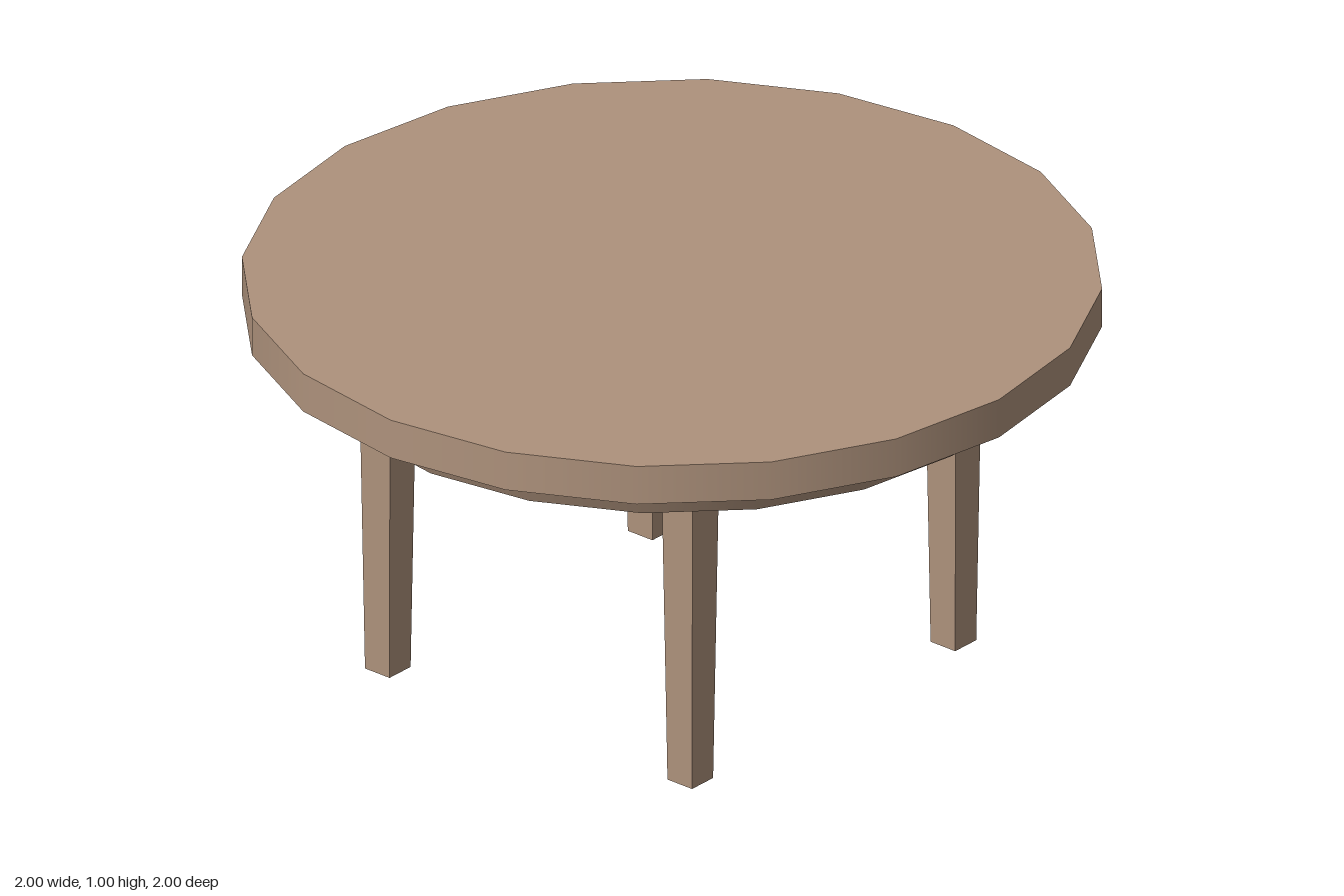
import * as THREE from 'three';

const SIDES = 20;

// Square leg, wider at the top, standing on y = 0
function legGeometry(bottom, top, height) {
  const geo = new THREE.BoxGeometry(1, height, 1);
  geo.translate(0, height / 2, 0);
  const pos = geo.attributes.position;
  for (let i = 0; i < pos.count; i++) {
    const w = pos.getY(i) > height / 2 ? top : bottom;
    pos.setX(i, pos.getX(i) * w);
    pos.setZ(i, pos.getZ(i) * w);
  }
  geo.computeVertexNormals();
  return geo;
}

export function createModel() {
  const table = new THREE.Group();
  table.name = 'roundTable';

  const wood = new THREE.MeshStandardMaterial({ color: 0xae927c });
  wood.name = 'wood';

  const add = (name, geo, x, y, z) => {
    const mesh = new THREE.Mesh(geo, wood);
    mesh.name = name;
    mesh.position.set(x, y, z);
    table.add(mesh);
  };

  // Round top and the tapered apron below it
  add('tableTop', new THREE.CylinderGeometry(1, 1, 0.098, SIDES), 0, 0.951, 0);
  add('apron', new THREE.CylinderGeometry(0.9, 0.857, 0.095, SIDES), 0, 0.8545, 0);

  // Four legs, slightly uneven in placement
  const leg = legGeometry(0.075, 0.095, 0.807);
  const legs = [
    ['frontLeftLeg', 0.437, 0.443],
    ['frontRightLeg', -0.467, 0.467],
    ['backLeftLeg', 0.437, -0.492],
    ['backRightLeg', -0.467, -0.467],
  ];
  for (const [name, x, z] of legs) add(name, leg, x, 0, z);

  return table;
}
